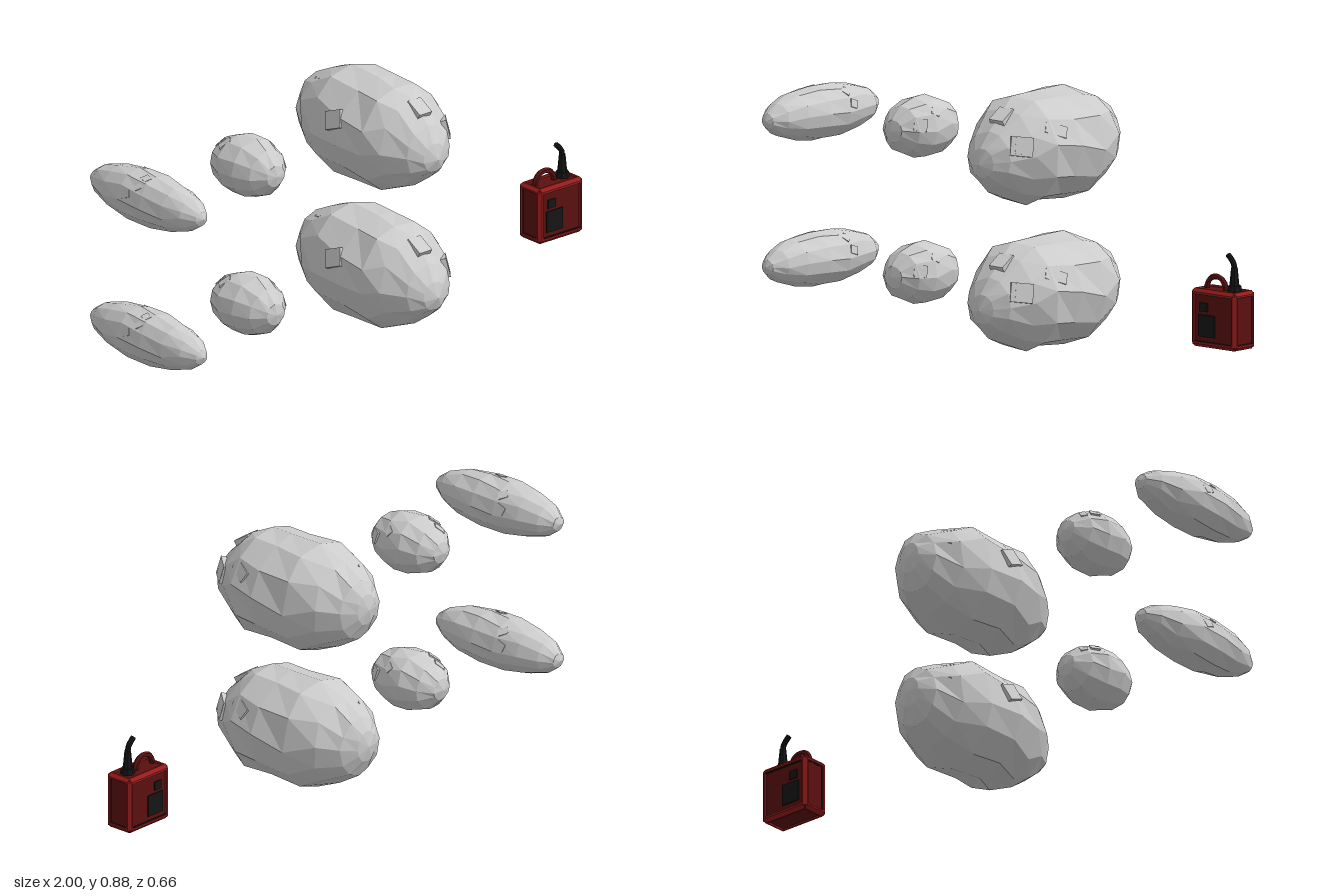
import * as THREE from 'three';
import { ConvexGeometry } from 'three/addons/geometries/ConvexGeometry.js';

const mat = (color) => new THREE.MeshStandardMaterial({ color, flatShading: true });
const stone = mat(0xcccccc), red = mat(0x991b1b), darkRed = mat(0x5c1010), black = mat(0x161616);

function seeded(seed) {
  return () => {
    seed = (seed * 16807) % 2147483647;
    return seed / 2147483647;
  };
}

function add(parent, name, geometry, material, x = 0, y = 0, z = 0) {
  const mesh = new THREE.Mesh(geometry, material);
  mesh.name = name;
  mesh.position.set(x, y, z);
  parent.add(mesh);
  return mesh;
}

// Faceted stone: elliptical rings [z, cx, cy, rx, ry] from back to front, closed by two end points
function rockGeometry(rings, back, front, seed) {
  const rand = seeded(seed), n = 12, pos = [...back], index = [];
  rings.forEach(([z, cx, cy, rx, ry], i) => {
    for (let j = 0; j < n; j++) {
      const a = ((j + (i % 3) * 0.12 + (rand() - 0.5) * 0.3) / n) * Math.PI * 2;
      const k = 0.975 + rand() * 0.05;
      pos.push(cx + Math.cos(a) * rx * k, cy + Math.sin(a) * ry * k, z + (rand() - 0.5) * 0.1 * rx);
    }
  });
  pos.push(...front);
  const last = pos.length / 3 - 1;
  for (let j = 0; j < n; j++) {
    const j2 = (j + 1) % n;
    index.push(0, 1 + j2, 1 + j);
    for (let i = 0; i < rings.length - 1; i++) {
      const a = 1 + i * n + j, b = 1 + i * n + j2;
      index.push(a, b, b + n, a, b + n, a + n);
    }
    index.push(last, last - n + j, last - n + j2);
  }
  const g = new THREE.BufferGeometry();
  g.setAttribute('position', new THREE.Float32BufferAttribute(pos, 3));
  g.setIndex(index);
  const flat = g.toNonIndexed();
  flat.computeVertexNormals();
  return flat;
}

// Rings of a plain ellipsoid
function ovalRings(cx, cy, cz, rx, ry, rz, count) {
  return Array.from({ length: count }, (_, i) => {
    const t = ((i + 0.75) / (count + 0.5)) * Math.PI;
    return [cz - Math.cos(t) * rz, cx, cy, rx * Math.sin(t), ry * Math.sin(t)];
  });
}

// Shallow broken plates, mostly sunk into the stone
function addChips(group, c, r, seed, count) {
  const rand = seeded(seed);
  const size = Math.min(r[0], r[1]);
  for (let i = 0; i < count; i++) {
    const a = 0.3 + rand() * 2.5, b = (rand() - 0.5) * 1.9;
    const d = new THREE.Vector3(Math.cos(a) * Math.cos(b), Math.sin(a) * Math.cos(b), Math.sin(b));
    const normal = new THREE.Vector3(d.x / r[0], d.y / r[1], d.z / r[2]).normalize();
    const plate = add(group, 'stoneChip',
      new THREE.BoxGeometry(size * (0.25 + rand() * 0.2), size * (0.2 + rand() * 0.2), size * 0.1), stone,
      c[0] + d.x * r[0] * 0.95, c[1] + d.y * r[1] * 0.95, c[2] + d.z * r[2] * 0.95);
    plate.quaternion.setFromUnitVectors(new THREE.Vector3(0, 0, 1), normal);
  }
}

function makeRocks() {
  const row = new THREE.Group();
  // Large stone with a pointed front and a blunt back
  const large = [
    [-0.318, 0.1, 0.21, 0.045, 0.055], [-0.285, 0.1, 0.203, 0.095, 0.105],
    [-0.21, 0.1, 0.198, 0.15, 0.153], [-0.1, 0.1, 0.198, 0.19, 0.195],
    [0.03, 0.1, 0.2, 0.198, 0.186], [0.13, 0.1, 0.196, 0.186, 0.187],
    [0.2, 0.1, 0.193, 0.152, 0.155], [0.275, 0.1, 0.182, 0.098, 0.095],
    [0.31, 0.1, 0.172, 0.05, 0.05],
  ];
  add(row, 'largeRock', rockGeometry(large, [0.1, 0.21, -0.328], [0.1, 0.168, 0.328], 17), stone);
  addChips(row, [0.1, 0.198, 0], [0.196, 0.19, 0.32], 91, 7);
  // Round stone
  add(row, 'roundRock', rockGeometry(ovalRings(-0.456, 0.196, -0.008, 0.111, 0.106, 0.15, 6),
    [-0.456, 0.196, -0.158], [-0.456, 0.196, 0.141], 53), stone);
  addChips(row, [-0.456, 0.196, -0.008], [0.109, 0.104, 0.145], 37, 4);
  // Long slim stone
  add(row, 'longRock', rockGeometry(ovalRings(-0.904, 0.196, -0.004, 0.096, 0.093, 0.278, 8),
    [-0.904, 0.196, -0.282], [-0.904, 0.196, 0.275], 29), stone);
  addChips(row, [-0.904, 0.196, -0.004], [0.094, 0.091, 0.27], 71, 5);
  return row;
}

function makeFuelCan() {
  const can = new THREE.Group();
  can.name = 'fuelCan';
  can.position.set(0.9, 0.194, -0.007);
  const half = [0.1, 0.099, 0.055], c = 0.011, w = 0.017;

  // Recessed panels
  add(can, 'bodyPanels', new THREE.BoxGeometry(...half.map((h) => (h - 0.006) * 2)), darkRed);

  // Chamfered beams along all twelve edges, ending in cut corners
  for (let a = 0; a < 3; a++) {
    const b = (a + 1) % 3, d = (a + 2) % 3;
    for (const sb of [-1, 1]) for (const sd of [-1, 1]) {
      const pts = [];
      const put = (u, v, t) => {
        const p = [];
        p[a] = u; p[b] = sb * v; p[d] = sd * t;
        pts.push(new THREE.Vector3(...p));
      };
      const B = half[b], D = half[d];
      for (const s of [-1, 1]) {
        const u = s * (half[a] - c);
        put(u, B, D - c); put(u, B - c, D);
        put(u, B, D - w); put(u, B - w, D);
        put(u, B - w, D - w);
        put(s * half[a], B - c, D - c);
      }
      add(can, 'edgeFrame', new ConvexGeometry(pts), red);
    }
  }

  // Dark plates and seams, on both broad faces
  for (const s of [-1, 1]) {
    const z = s * 0.05;
    add(can, 'largePlate', new THREE.BoxGeometry(0.072, 0.075, 0.008), black, -0.03, -0.025, z);
    add(can, 'smallPlate', new THREE.BoxGeometry(0.034, 0.03, 0.008), black, -0.043, 0.038, z);
    for (const y of [-0.08, 0.08])
      add(can, 'panelSeam', new THREE.BoxGeometry(0.166, 0.004, 0.004), black, 0, y, z);
    for (const y of [-0.08, 0.08])
      add(can, 'sideSeam', new THREE.BoxGeometry(0.004, 0.004, 0.076), black, s * 0.093, y, 0);
    for (const t of [-1, 1])
      add(can, 'sideSeam', new THREE.BoxGeometry(0.004, 0.164, 0.004), black, s * 0.093, 0, t * 0.036);
  }

  // Arched carrying handle
  add(can, 'handle', new THREE.TorusGeometry(0.042, 0.01, 6, 12, Math.PI), darkRed, -0.03, 0.096, 0);

  // Spout: collar, tapering neck and bent nozzle
  add(can, 'spoutCollar', new THREE.CylinderGeometry(0.022, 0.025, 0.02, 8), black, 0.051, 0.106, 0);
  add(can, 'spoutNeck', new THREE.CylinderGeometry(0.011, 0.017, 0.064, 8), black, 0.05, 0.146, 0);
  const bend = new THREE.CatmullRomCurve3([
    new THREE.Vector3(0.05, 0.17, 0), new THREE.Vector3(0.047, 0.19, 0),
    new THREE.Vector3(0.034, 0.207, 0), new THREE.Vector3(0.023, 0.217, 0),
  ]);
  add(can, 'nozzle', new THREE.TubeGeometry(bend, 6, 0.0095, 8), black);
  const tip = add(can, 'nozzleTip', new THREE.CylinderGeometry(0.0095, 0.0095, 0.003, 8), black, 0.023, 0.217, 0);
  tip.rotation.z = 0.83;
  return can;
}

export function createModel() {
  const model = new THREE.Group();
  const lower = makeRocks();
  lower.name = 'lowerRocks';
  const upper = lower.clone();
  upper.name = 'upperRocks';
  upper.position.y = 0.498;
  model.add(lower, upper, makeFuelCan());
  return model;
}
